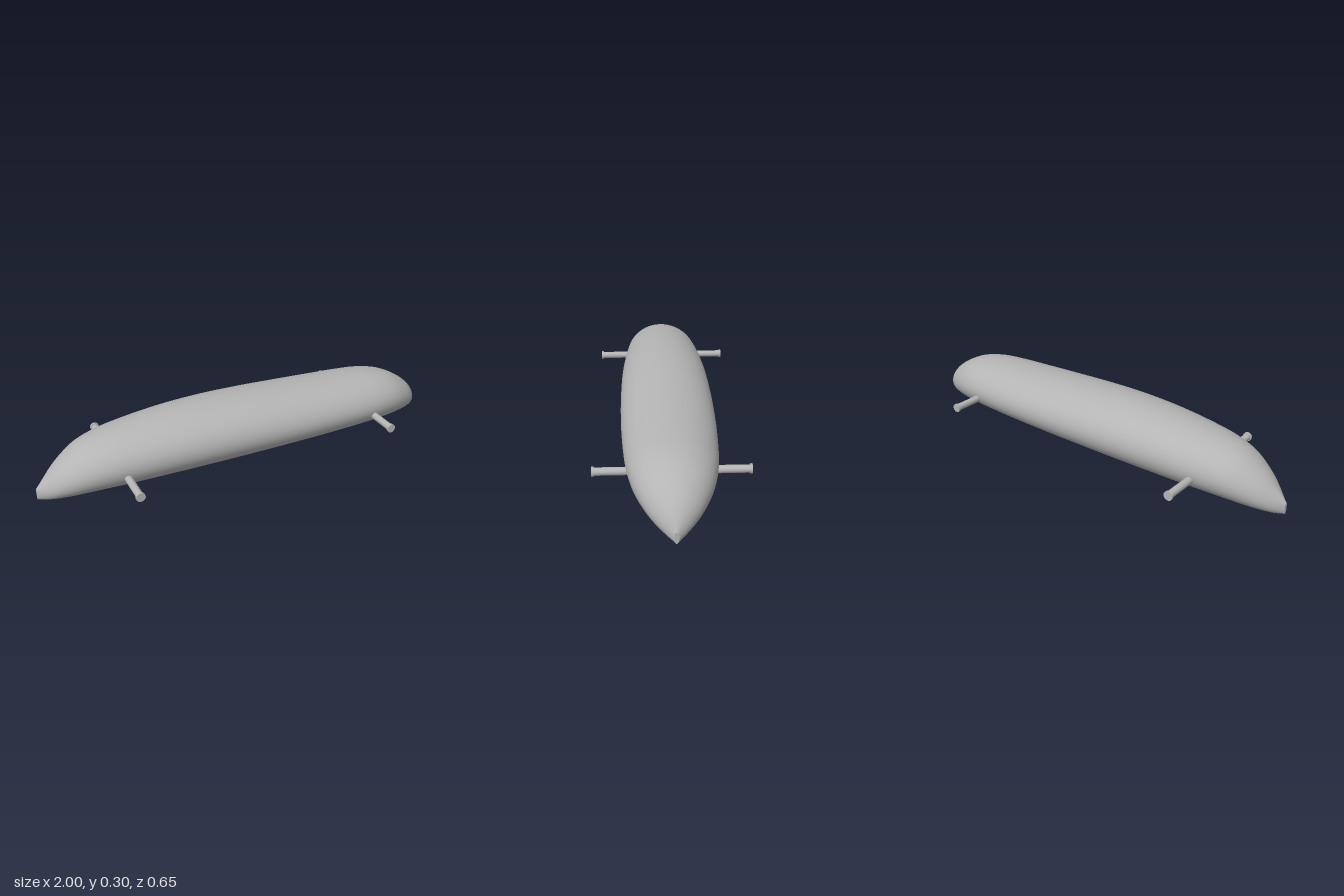
import * as THREE from 'three';

const SIDES = 56, RINGS = 110;

// Hull stations: x, height of the crown, half width
const stations = [
  [-1, 0.06, 0.008], [-0.95, 0.108, 0.055], [-0.9, 0.155, 0.09], [-0.8, 0.223, 0.138],
  [-0.7, 0.255, 0.165], [-0.6, 0.272, 0.18], [-0.4, 0.293, 0.198], [-0.2, 0.3, 0.209],
  [0, 0.296, 0.213], [0.2, 0.286, 0.212], [0.4, 0.276, 0.206], [0.6, 0.267, 0.193],
  [0.7, 0.259, 0.18], [0.8, 0.236, 0.155], [0.9, 0.182, 0.107], [0.96, 0.125, 0.058],
  [1, 0.06, 0.01],
];

// Keel line: flat, dipping slightly near the -x tip
function keel(x) {
  const dip = THREE.MathUtils.smoothstep(-x, 0.68, 0.96);
  const tip = THREE.MathUtils.smoothstep(-x, 0.96, 1);
  return 0.012 - 0.012 * dip + 0.006 * tip;
}

// Elliptical rings lofted along x, closed by a small fan at each tip
function hullGeometry() {
  const curve = new THREE.CatmullRomCurve3(stations.map((s) => new THREE.Vector3(...s)));
  const pos = [], index = [];
  const addRing = (p) => {
    const low = keel(p.x), mid = (p.y + low) / 2, half = (p.y - low) / 2;
    for (let j = 0; j < SIDES; j++) {
      const a = (j / SIDES) * Math.PI * 2;
      pos.push(p.x, mid + half * Math.sin(a), p.z * Math.cos(a));
    }
    return mid;
  };
  for (let i = 0; i <= RINGS; i++) addRing(curve.getPoint(i / RINGS));
  for (let i = 0; i < RINGS; i++) {
    for (let j = 0; j < SIDES; j++) {
      const k = (j + 1) % SIDES;
      const a = i * SIDES + j, b = a + SIDES, c = i * SIDES + k, d = c + SIDES;
      index.push(a, b, c, b, d, c);
    }
  }
  for (const end of [0, 1]) {
    const p = curve.getPoint(end), start = pos.length / 3;
    const mid = addRing(p);
    pos.push(p.x, mid, 0);
    for (let j = 0; j < SIDES; j++) {
      const a = start + j, b = start + ((j + 1) % SIDES), centre = start + SIDES;
      if (end) index.push(centre, b, a);
      else index.push(centre, a, b);
    }
  }
  const g = new THREE.BufferGeometry();
  g.setAttribute('position', new THREE.Float32BufferAttribute(pos, 3));
  g.setIndex(index);
  g.computeVertexNormals();
  return g;
}

export function createModel() {
  const grey = new THREE.MeshStandardMaterial({ color: 0xb4b4b4 });
  grey.name = 'plain grey';
  const model = new THREE.Group();
  model.name = 'floatBody';

  const hull = new THREE.Mesh(hullGeometry(), grey);
  hull.name = 'hull';
  model.add(hull);

  // Four side pegs, each a rod with a flanged end
  for (const x of [-0.635, 0.63]) {
    for (const side of [1, -1]) {
      const peg = new THREE.Group();
      peg.name = 'peg';
      const rod = new THREE.Mesh(new THREE.CylinderGeometry(0.017, 0.017, 0.2, 24), grey);
      rod.name = 'pegRod';
      rod.position.y = 0.217;
      const flange = new THREE.Mesh(new THREE.CylinderGeometry(0.021, 0.021, 0.01, 24), grey);
      flange.name = 'pegFlange';
      flange.position.y = 0.322;
      peg.add(rod, flange);
      peg.rotation.x = (side * Math.PI) / 2;
      peg.position.set(x, 0.108, 0);
      model.add(peg);
    }
  }
  return model;
}
